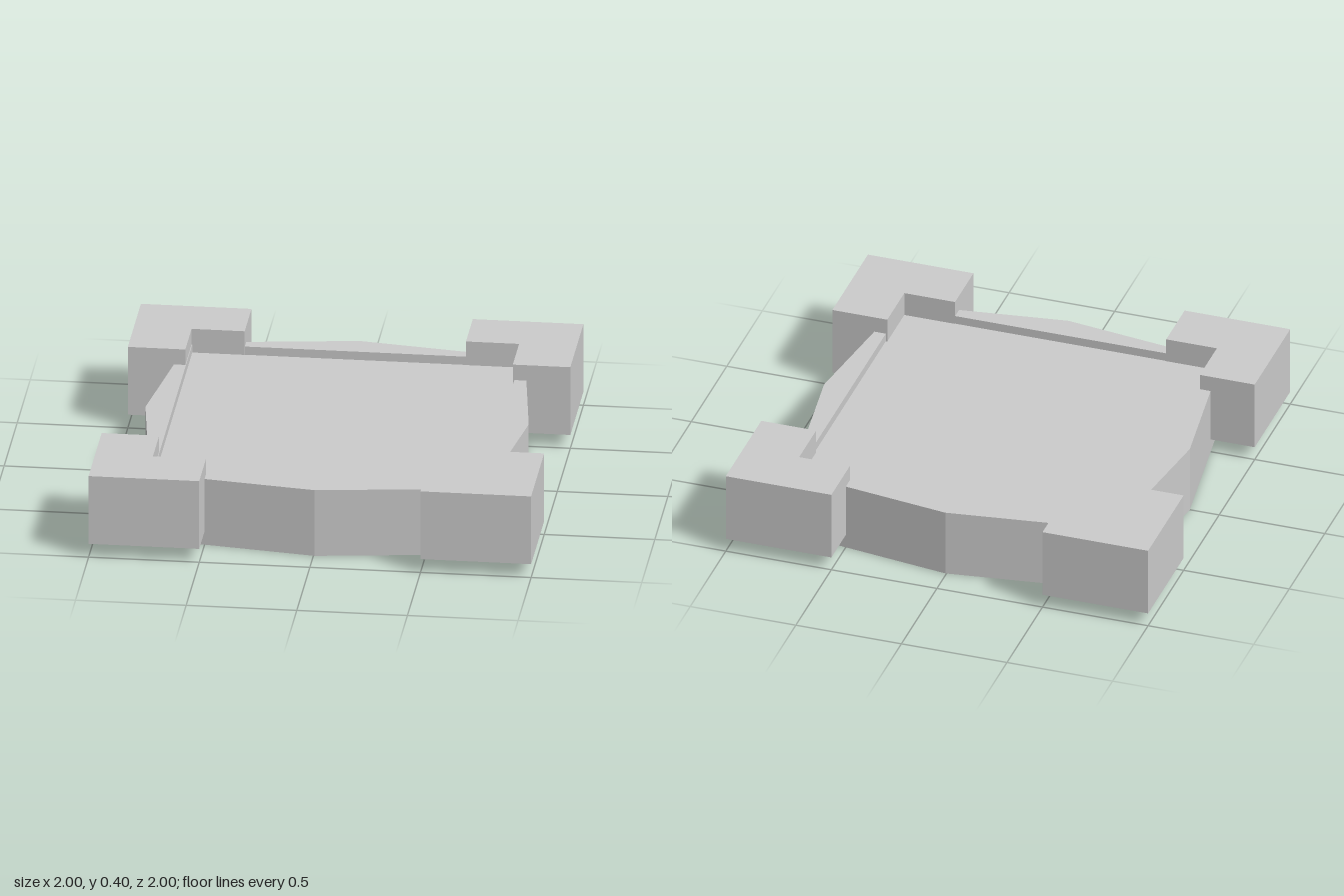
import * as THREE from 'three';

const material = new THREE.MeshStandardMaterial({ color: 0xcccccc, flatShading: true });

// Extrude a plan outline (x, z) upward between two heights
function prism(name, points, bottom, top) {
  const shape = new THREE.Shape(points.map(([x, z]) => new THREE.Vector2(x, -z)));
  const geometry = new THREE.ExtrudeGeometry(shape, { depth: top - bottom, bevelEnabled: false });
  geometry.rotateX(-Math.PI / 2).translate(0, bottom, 0);
  const mesh = new THREE.Mesh(geometry, material);
  mesh.name = name;
  return mesh;
}

export function createModel() {
  const model = new THREE.Group();
  model.name = 'squareFort';

  // Recessed floor slab
  const floor = new THREE.Mesh(new THREE.BoxGeometry(1.49, 0.23, 1.49), material);
  floor.name = 'floor';
  floor.position.set(0.004, 0.165, 0);
  model.add(floor);

  // Bowed walls, with thin ends that cross at the corners
  const end = 0.79;
  const wallPlan = [[-end, 0.742], [end, 0.742], [end, 0.756], [0, 0.866], [-end, 0.756]];
  // L-shaped corner blocks, notched around the floor
  const blockPlan = [[0.5, 0.74], [0.74, 0.74], [0.74, 0.5], [1, 0.5], [1, 1], [0.5, 1]];

  ['front', 'left', 'back', 'right'].forEach((side, i) => {
    const wall = prism(side + 'Wall', wallPlan, 0, 0.32);
    wall.rotation.y = i * Math.PI / 2;
    wall.position.x = 0.005;
    const block = prism('cornerBlock' + (i + 1), blockPlan, 0.065, 0.395);
    block.rotation.y = i * Math.PI / 2;
    model.add(wall, block);
  });
  return model;
}
